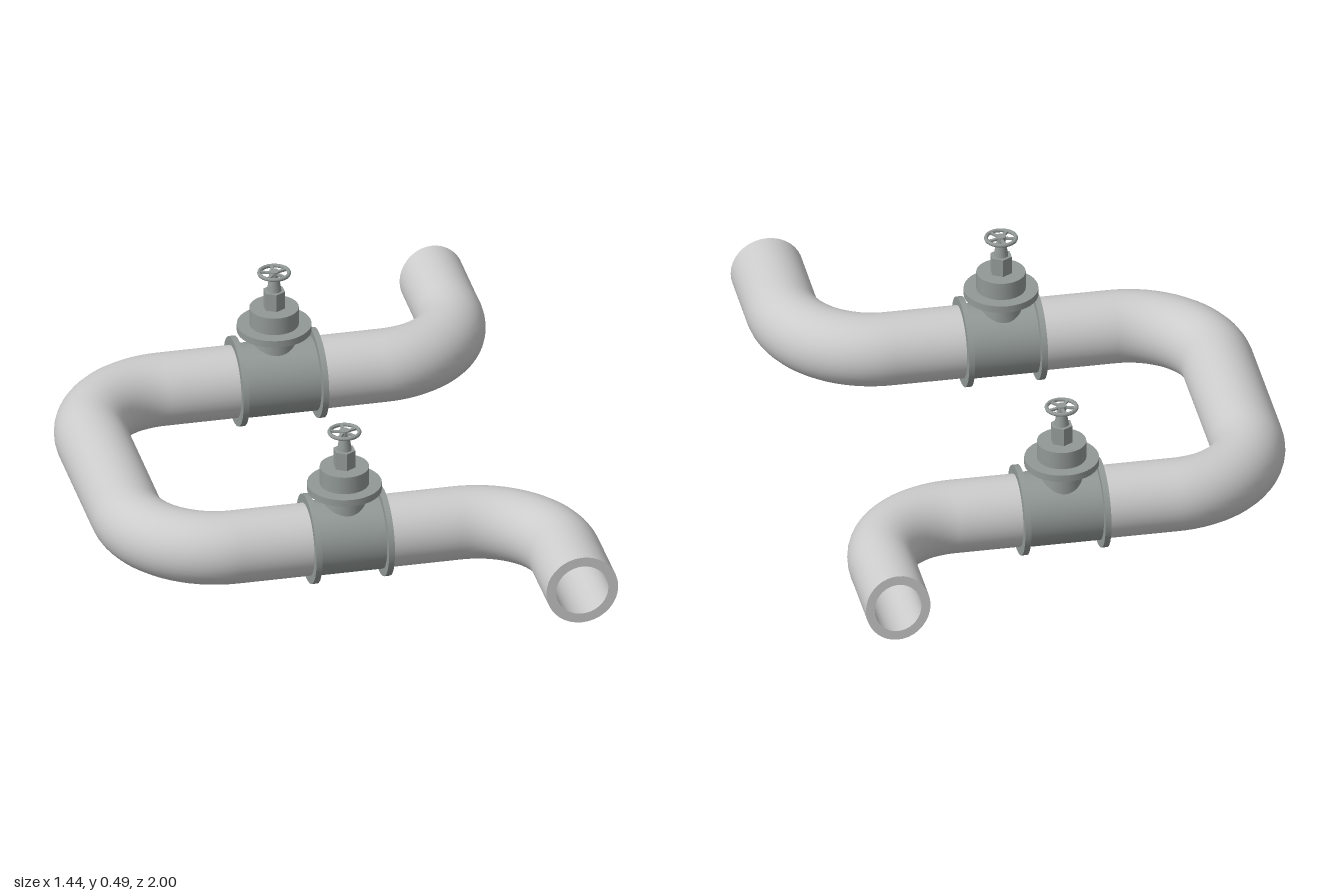
import * as THREE from 'three';

const pipeMaterial = new THREE.MeshStandardMaterial({ color: 0xcccccc, side: THREE.DoubleSide });
const valveMaterial = new THREE.MeshStandardMaterial({ color: 0x929996 });

const PIPE_Y = 0.135, PIPE_R = 0.11, BORE_R = 0.08;

function add(parent, name, geometry, material, x = 0, y = 0, z = 0) {
  const mesh = new THREE.Mesh(geometry, material);
  mesh.name = name;
  mesh.position.set(x, y, z);
  parent.add(mesh);
  return mesh;
}

// Centre line through the given corners [x, z, bend radius], with rounded bends
function pipePath(corners) {
  const points = corners.map(([x, z]) => new THREE.Vector3(x, PIPE_Y, z));
  const path = new THREE.CurvePath();
  let from = points[0];
  for (let i = 1; i < points.length - 1; i++) {
    const p = points[i], r = corners[i][2];
    const back = points[i - 1].clone().sub(p).normalize();
    const ahead = points[i + 1].clone().sub(p).normalize();
    const at = (dir, d) => p.clone().addScaledVector(dir, d);
    const start = at(back, r), end = at(ahead, r);
    path.add(new THREE.LineCurve3(from, start));
    path.add(new THREE.CubicBezierCurve3(start, at(back, r * 0.448), at(ahead, r * 0.448), end));
    from = end;
  }
  path.add(new THREE.LineCurve3(from, points[points.length - 1]));
  return path;
}

// The back end is slightly narrower and the front end rises a little
function shapeEnds(geometry) {
  const p = geometry.attributes.position;
  const clamp = THREE.MathUtils.clamp;
  for (let i = 0; i < p.count; i++) {
    const x = p.getX(i), z = p.getZ(i);
    const side = clamp((x - 0.35) / 0.15, 0, 1);
    const narrow = side * clamp((-z - 0.5) / 0.28, 0, 1);
    p.setX(i, x - (x - 0.597) * 0.11 * narrow);
    p.setY(i, p.getY(i) + 0.01 * side * clamp((z - 0.5) / 0.5, 0, 1));
  }
  return geometry;
}

function createPipe() {
  const pipe = new THREE.Group();
  pipe.name = 'pipe';
  const path = pipePath([
    [0.597, -1], [0.597, -0.505, 0.26], [-0.612, -0.505, 0.27],
    [-0.612, 0.495, 0.27], [0.61, 0.495, 0.27], [0.61, 1],
  ]);
  add(pipe, 'pipeWall', shapeEnds(new THREE.TubeGeometry(path, 160, PIPE_R, 36)), pipeMaterial);
  add(pipe, 'pipeBore', shapeEnds(new THREE.TubeGeometry(path, 160, BORE_R, 36)), pipeMaterial);
  // Rims closing the wall thickness at both ends
  const rim = () => new THREE.RingGeometry(BORE_R, PIPE_R, 36);
  add(pipe, 'frontRim', shapeEnds(rim().translate(0.61, PIPE_Y, 1)), pipeMaterial);
  add(pipe, 'backRim', shapeEnds(rim().rotateY(Math.PI).translate(0.597, PIPE_Y, -1)), pipeMaterial);
  return pipe;
}

function createHandwheel() {
  const wheel = new THREE.Group();
  wheel.name = 'handwheel';
  const rim = new THREE.TorusGeometry(0.045, 0.006, 8, 32).rotateX(Math.PI / 2);
  add(wheel, 'wheelRim', rim, valveMaterial);
  add(wheel, 'wheelHub', new THREE.CylinderGeometry(0.015, 0.015, 0.014, 16), valveMaterial);
  for (let i = 0; i < 5; i++) {
    const spoke = new THREE.BoxGeometry(0.038, 0.006, 0.009).translate(0.026, 0, 0);
    add(wheel, 'wheelSpoke', spoke.rotateY((i / 5) * Math.PI * 2 + Math.PI / 2), valveMaterial);
  }
  return wheel;
}

function createValve(name, z, leftFlange, rightFlange, stemX, stemZ) {
  const valve = new THREE.Group();
  valve.name = name;
  valve.position.z = z;

  // Sleeve around the pipe with a flange at each end
  const sleeve = new THREE.CylinderGeometry(0.113, 0.113, leftFlange - rightFlange, 36);
  add(valve, 'valveBody', sleeve.rotateZ(Math.PI / 2), valveMaterial, (leftFlange + rightFlange) / 2, PIPE_Y);
  for (const x of [leftFlange, rightFlange]) {
    const flange = new THREE.CylinderGeometry(0.135, 0.135, 0.018, 36).rotateZ(Math.PI / 2);
    add(valve, 'pipeFlange', flange.scale(1, 1, 1.04), valveMaterial, x, PIPE_Y);
  }

  // Bonnet stack: [name, bottom radius, top radius, bottom, top, sides]
  const stack = new THREE.Group();
  stack.name = 'bonnet';
  stack.position.set(stemX, 0, stemZ);
  valve.add(stack);
  const tiers = [
    ['neck', 0.066, 0.06, 0.2, 0.29, 32],
    ['bonnetFlange', 0.112, 0.112, 0.29, 0.312, 36],
    ['bonnetBody', 0.074, 0.074, 0.312, 0.368, 32],
    ['packingNut', 0.034, 0.034, 0.368, 0.425, 6],
    ['gland', 0.022, 0.015, 0.425, 0.468, 16],
    ['stem', 0.01, 0.01, 0.468, 0.485, 12],
  ];
  for (const [part, bottomR, topR, y0, y1, sides] of tiers) {
    const geometry = new THREE.CylinderGeometry(topR, bottomR, y1 - y0, sides);
    const flat = sides === 6;
    add(stack, part, flat ? geometry.toNonIndexed() : geometry, valveMaterial, 0, (y0 + y1) / 2);
    if (flat) stack.children.at(-1).geometry.computeVertexNormals();
  }
  const wheel = createHandwheel();
  wheel.position.y = 0.484;
  stack.add(wheel);
  return valve;
}

export function createModel() {
  const model = new THREE.Group();
  model.name = 'pipeWithValves';
  model.add(createPipe());
  model.add(createValve('frontValve', 0.493, 0.11, -0.112, -0.004, -0.003));
  model.add(createValve('backValve', -0.505, 0.132, -0.112, 0.006, -0.011));
  return model;
}
